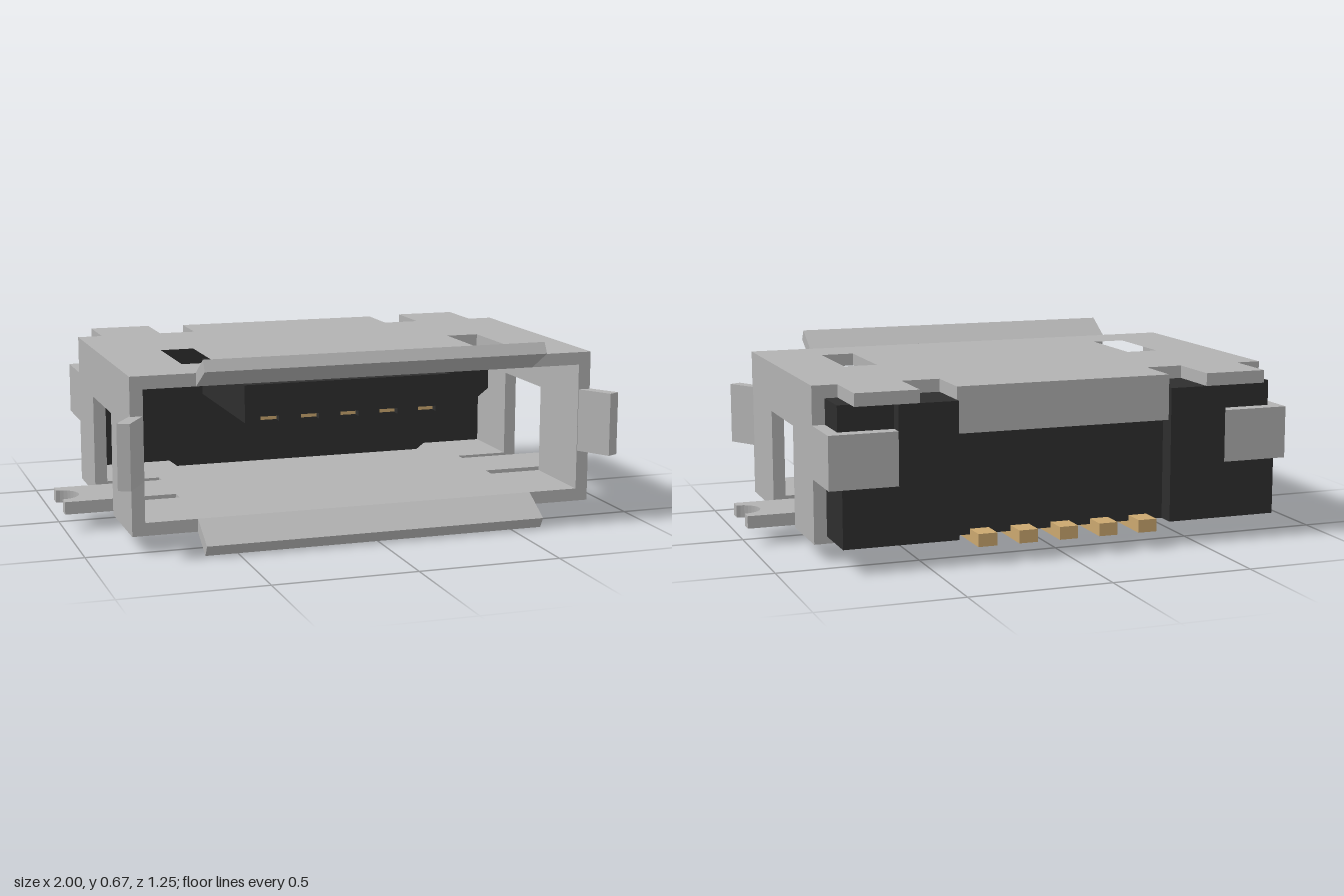
import * as THREE from 'three';

const metal = new THREE.MeshStandardMaterial({ color: 0xb2b2b2 });
metal.name = 'shell grey';
const plastic = new THREE.MeshStandardMaterial({ color: 0x2e2e2e });
plastic.name = 'housing black';
const gold = new THREE.MeshStandardMaterial({ color: 0xcaa76f });
gold.name = 'contact gold';

const T = 0.045; // sheet thickness
const vecs = (pts) => pts.map(([a, b]) => new THREE.Vector2(a, b));
const mirrored = (half) => [...half, ...half.map(([x, z]) => [-x, z]).reverse()];

export function createModel() {
  const root = new THREE.Group();

  const add = (name, geometry, material, parent) => {
    const mesh = new THREE.Mesh(geometry, material);
    mesh.name = name;
    parent.add(mesh);
    return mesh;
  };
  const group = (name) => {
    const g = new THREE.Group();
    g.name = name;
    root.add(g);
    return g;
  };
  // box from its limits
  const box = (name, x0, x1, y0, y1, z0, z1, material, parent) => {
    const g = new THREE.BoxGeometry(Math.abs(x1 - x0), y1 - y0, z1 - z0);
    g.translate((x0 + x1) / 2, (y0 + y1) / 2, (z0 + z1) / 2);
    return add(name, g, material, parent);
  };
  const extrude = (pts, depth, holes = []) => {
    const shape = new THREE.Shape(vecs(pts));
    holes.forEach((h) => shape.holes.push(new THREE.Path(vecs(h))));
    return new THREE.ExtrudeGeometry(shape, { depth, bevelEnabled: false });
  };
  // outline in (x, z), extruded down from yTop
  const flat = (pts, yTop, depth, holes) =>
    extrude(pts, depth, holes).rotateX(Math.PI / 2).translate(0, yTop, 0);
  // outline in (z, y), extruded towards -x from xMax
  const upright = (pts, xMax, depth) =>
    extrude(pts, depth).rotateY(-Math.PI / 2).translate(xMax, 0, 0);

  // ---- metal shell
  const shell = group('shell');

  const slots = [-1, 1].map((s) => [
    [0.495 * s, 0], [0.615 * s, 0], [0.615 * s, 0.32], [0.495 * s, 0.32],
  ]);
  const topHalf = [
    [0.84, 0.51], [0.84, -0.4], [0.75, -0.4], [0.75, -0.605],
    [0.525, -0.605], [0.525, -0.4], [0.39, -0.4], [0.39, -0.585],
  ];
  add('topPlate', flat(mirrored(topHalf), 0.61, T, slots), metal, shell);
  box('rearLip', -0.39, 0.39, 0.45, 0.565, -0.585, -0.54, metal, shell);

  // bottom plate with slits and solder feet, each foot with a round notch
  const notch = [];
  for (let i = 0; i <= 16; i++) {
    const a = Math.PI / 2 + (Math.PI * i) / 16;
    notch.push([1 + 0.07 * Math.cos(a), 0.025 + 0.07 * Math.sin(a)]);
  }
  const bottomHalf = [
    [0.84, 0.51], [0.84, 0.195], [0.6, 0.195], [0.6, 0.14], [1, 0.14],
    ...notch,
    [1, -0.09], [0.6, -0.09], [0.6, -0.13], [0.84, -0.13],
    [0.84, -0.4], [0.45, -0.4], [0.45, -0.3],
  ];
  add('bottomPlate', flat(mirrored(bottomHalf), 0.11, T), metal, shell);

  // side walls with window and rear tab
  const wall = [
    [0.51, 0.565], [0.51, 0.11], [0.195, 0.11], [0.195, 0.43], [-0.13, 0.43],
    [-0.13, 0.11], [-0.4, 0.11], [-0.4, 0.29], [-0.605, 0.29],
    [-0.605, 0.475], [-0.4, 0.475], [-0.4, 0.565],
  ];
  for (const s of [-1, 1]) {
    const side = s > 0 ? 'left' : 'right';
    add(side + 'Wall', upright(wall, s > 0 ? 0.84 : -0.795, T), metal, shell);
    box(side + 'RearTab', 0.6 * s, 0.795 * s, 0.29, 0.475, -0.605, -0.555, metal, shell);
    const flap = [[0.84, 0.5], [0.905, 0.605], [0.865, 0.625], [0.797, 0.51]];
    add(side + 'Flap', flat(flap.map(([x, z]) => [x * s, z]), 0.475, 0.225), metal, shell);
  }

  // flared front flaps, the lower one mirrored about mid height
  const flare = [[0.505, 0.61], [0.605, 0.67], [0.628, 0.632], [0.51, 0.565]];
  add('topFlap', upright(flare, 0.613, 1.226), metal, shell);
  add('bottomFlap', upright(flare.map(([z, y]) => [z, 0.675 - y]), 0.613, 1.226), metal, shell);

  // ---- plastic housing
  const housing = group('housing');
  box('body', -0.795, 0.795, 0.09, 0.565, -0.54, -0.4, plastic, housing);
  const front = mirrored([[0.795, 0.565], [0.795, 0.34], [0.49, 0.11]]);
  add('frontBlock', extrude(front, 0.1).translate(0, 0, -0.4), plastic, housing);
  box('frontBase', -0.45, 0.45, 0.09, 0.11, -0.4, -0.3, plastic, housing);
  for (const s of [-1, 1]) {
    box('lowerCorner', 0.39 * s, 0.795 * s, 0.09, 0.29, -0.605, -0.54, plastic, housing);
    box('upperCorner', 0.39 * s, 0.6 * s, 0.29, 0.565, -0.605, -0.54, plastic, housing);
    box('tabPocket', 0.6 * s, 0.795 * s, 0.29, 0.565, -0.555, -0.54, plastic, housing);
  }

  // tongue with ribs between the contact grooves
  const pitch = 0.148;
  const half = 0.034;
  box('tongue', -0.387, 0.387, 0.405, 0.52, -0.3, 0.3, plastic, housing);
  for (let i = 0; i < 6; i++) {
    const x0 = i === 0 ? -0.387 : (i - 3) * pitch + half;
    const x1 = i === 5 ? 0.387 : (i - 2) * pitch - half;
    box('tongueRib', x0, x1, 0.385, 0.405, -0.3, 0.3, plastic, housing);
  }

  // ---- contacts and solder pins
  const contacts = group('contacts');
  for (let i = -2; i <= 2; i++) {
    const x = i * pitch;
    box('contact', x - half, x + half, 0.387, 0.405, -0.3, 0.27, gold, contacts);
    box('solderPin', x - half, x + half, 0.065, 0.11, -0.625, -0.445, gold, contacts);
  }

  return root;
}
